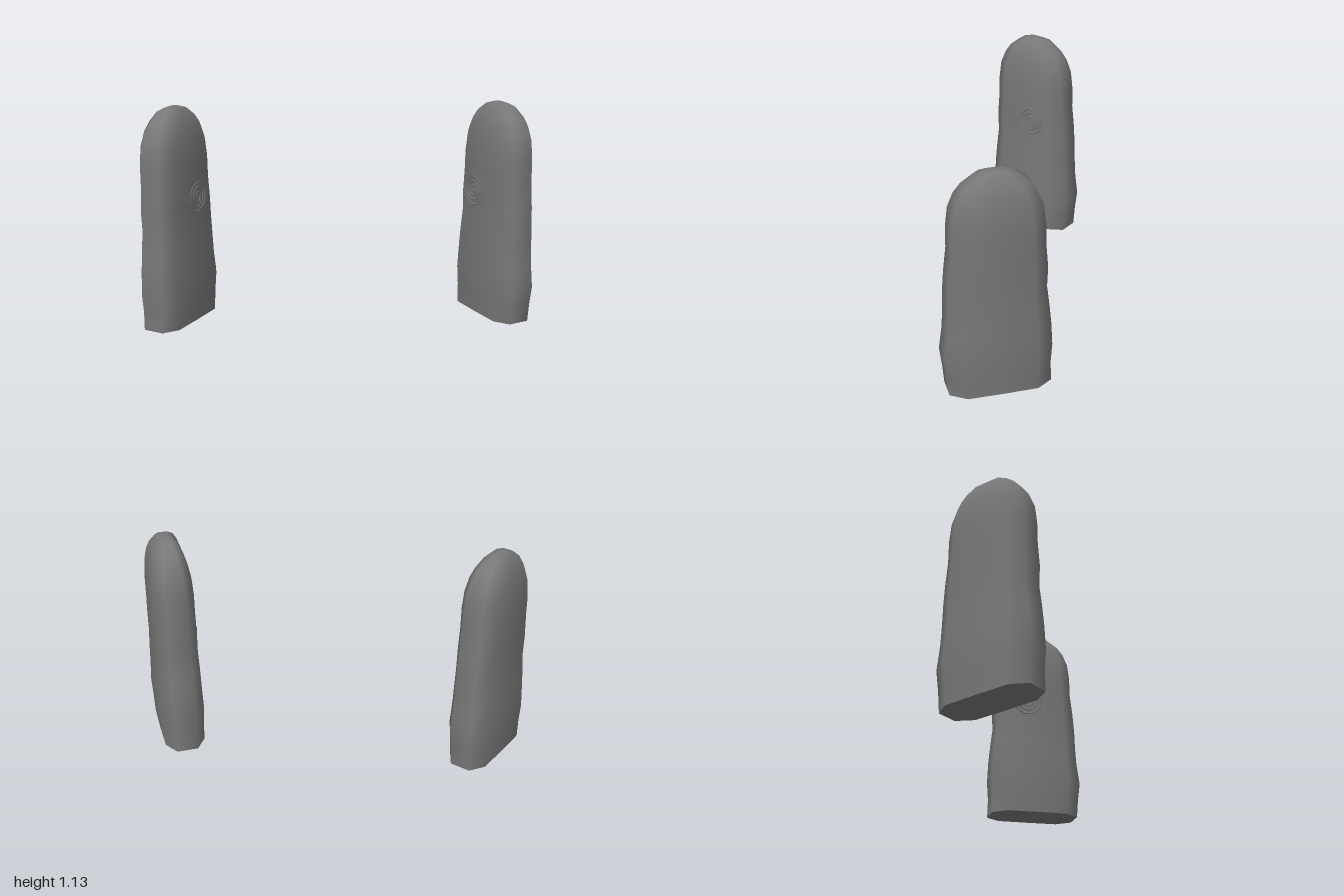
import * as THREE from 'three';

const stoneGrey = new THREE.MeshStandardMaterial({ color: 0x787878 });
stoneGrey.name = 'stone grey';

// Unit outline of the cross-section: long axis x, thickness z
const OUTLINE = [
  [1, -0.52], [1, 0.52], [0.69, 1], [0, 1.02], [-0.69, 1],
  [-1, 0.52], [-1, -0.52], [-0.69, -1], [0, -1.02], [0.69, -1],
];

// Height, reach towards -x, reach towards +x, half thickness
const ROWS = [
  [0.01, 0.25, 0.243, 0.104], [0.11, 0.246, 0.25, 0.107], [0.21, 0.252, 0.262, 0.112],
  [0.33, 0.246, 0.246, 0.108], [0.43, 0.236, 0.24, 0.106], [0.53, 0.224, 0.238, 0.102],
  [0.63, 0.228, 0.23, 0.103], [0.75, 0.218, 0.216, 0.102], [0.86, 0.216, 0.214, 0.102],
  [0.95, 0.206, 0.204, 0.096], [1.02, 0.178, 0.178, 0.084], [1.065, 0.148, 0.146, 0.069],
  [1.11, 0.092, 0.09, 0.047], [1.125, 0.05, 0.05, 0.025],
];

// Ring of points for one row; the base slopes slightly along the long axis
function ring([y, back, front, half], slope) {
  const fade = Math.max(0, 1 - y / 0.2);
  return OUTLINE.map(([u, v]) => {
    const x = u * (u > 0 ? front : back);
    return [x, y + slope * x * fade, v * half];
  });
}

function geometryFrom(points, index) {
  const geometry = new THREE.BufferGeometry();
  geometry.setAttribute('position', new THREE.Float32BufferAttribute(points.flat(), 3));
  geometry.setIndex(index);
  geometry.computeVertexNormals();
  return geometry;
}

// Smooth weathered shaft with rounded crown
function shaftGeometry(slope) {
  const n = OUTLINE.length;
  const points = ROWS.flatMap((row) => ring(row, slope));
  const top = points.length;
  points.push([0, 1.13, 0]);
  const index = [];
  ROWS.forEach((row, i) => {
    for (let j = 0; j < n; j++) {
      const a = i * n + j;
      const b = i * n + (j + 1) % n;
      if (i === ROWS.length - 1) index.push(a, top, b);
      else index.push(a, a + n, b, b, a + n, b + n);
    }
  });
  return geometryFrom(points, index);
}

// Flat underside
function baseGeometry(slope) {
  const points = ring(ROWS[0], slope);
  const n = points.length;
  points.push([0, ROWS[0][0], 0]);
  const index = [];
  for (let j = 0; j < n; j++) index.push(n, j, (j + 1) % n);
  return geometryFrom(points, index);
}

// Thin spiral ridge
function spiralGeometry() {
  const turns = 3.25;
  const points = [];
  for (let i = 0; i <= 64; i++) {
    const t = i / 64;
    const angle = Math.PI + (1 - t) * turns * Math.PI * 2;
    const radius = 0.008 + 0.077 * t;
    points.push(new THREE.Vector3(Math.cos(angle) * radius, Math.sin(angle) * radius, 0));
  }
  return new THREE.TubeGeometry(new THREE.CatmullRomCurve3(points), 128, 0.005, 6);
}

function standingStone(name, x, z, turn, slope, spiralX) {
  const stone = new THREE.Group();
  stone.name = name;
  const add = (geometry, part) => {
    const mesh = new THREE.Mesh(geometry, stoneGrey);
    mesh.name = part;
    stone.add(mesh);
    return mesh;
  };
  add(shaftGeometry(slope), 'shaft');
  add(baseGeometry(slope), 'underside');
  add(spiralGeometry(), 'spiralCarving').position.set(spiralX, 0.67, 0.103);
  stone.position.set(x, 0, z);
  stone.rotation.y = THREE.MathUtils.degToRad(turn);
  return stone;
}

export function createModel() {
  const model = new THREE.Group();
  model.name = 'standingStones';
  model.add(
    standingStone('rightStone', -0.818, -0.012, 60, -0.03, 0.04),
    standingStone('leftStone', 0.828, 0, -67, 0.03, -0.055),
  );
  return model;
}
